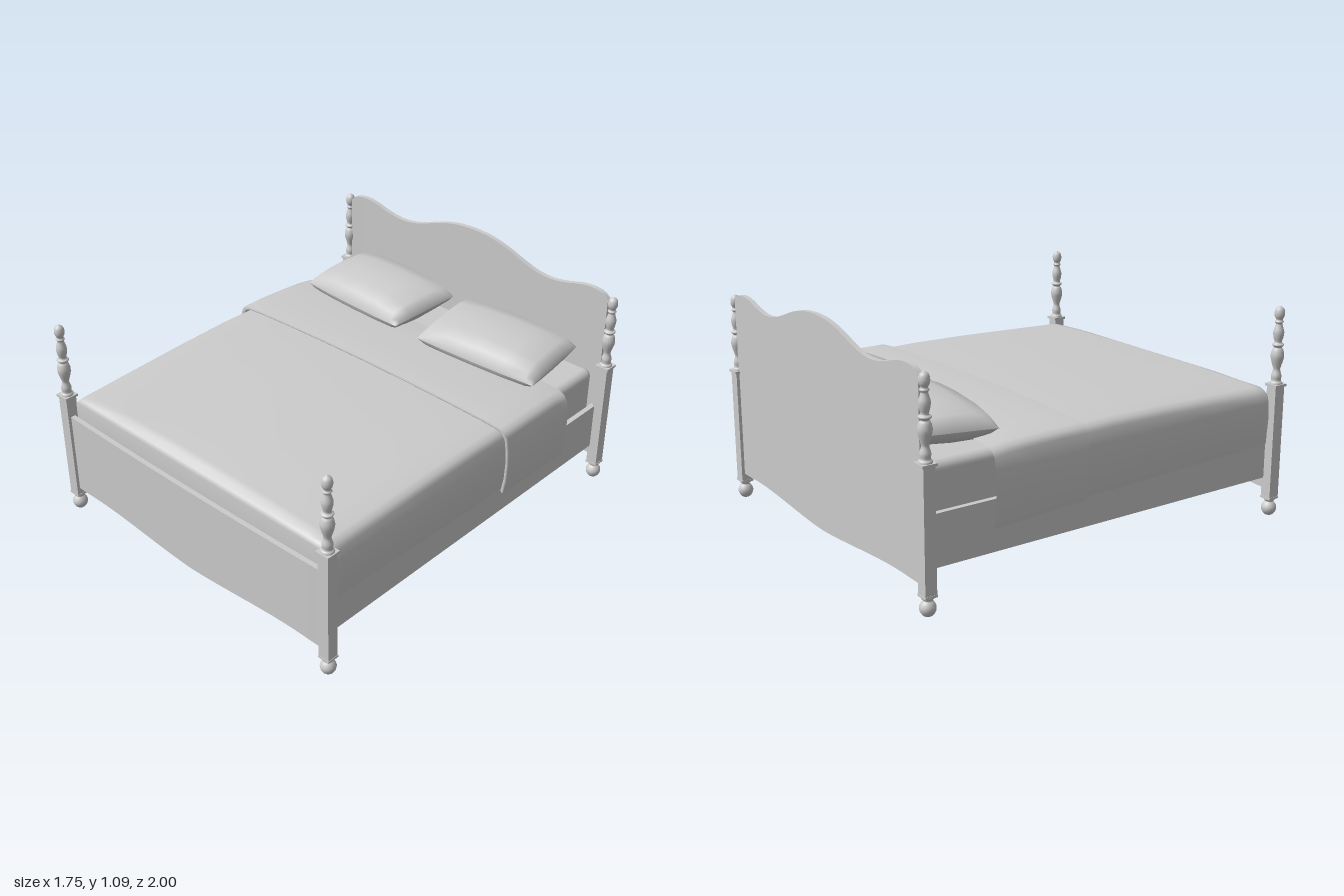
import * as THREE from 'three';
import { RoundedBoxGeometry } from 'three/addons/geometries/RoundedBoxGeometry.js';

const wood = new THREE.MeshStandardMaterial({ color: 0xcccccc });
const cloth = new THREE.MeshStandardMaterial({ color: 0xcccccc, side: THREE.DoubleSide });

function add(parent, name, geometry, x = 0, y = 0, z = 0, material = wood) {
  const mesh = new THREE.Mesh(geometry, material);
  mesh.name = name;
  mesh.position.set(x, y, z);
  parent.add(mesh);
  return mesh;
}

const box = (w, h, d) => new THREE.BoxGeometry(w, h, d);

// Smooth surface through rows of points; rows run +x to -x, front to back
function loft(rows, flip = false) {
  const n = rows[0].length, index = [];
  for (let i = 0; i < rows.length - 1; i++) {
    for (let j = 0; j < n - 1; j++) {
      const a = i * n + j, b = a + 1, c = a + n, d = c + 1;
      index.push(...(flip ? [a, b, c, b, d, c] : [a, c, b, b, c, d]));
    }
  }
  const g = new THREE.BufferGeometry();
  g.setAttribute('position', new THREE.Float32BufferAttribute(rows.flat(2), 3));
  g.setIndex(index);
  g.computeVertexNormals();
  return g;
}

const lathe = (profile) => {
  const pts = new THREE.SplineCurve(profile.map(([r, y]) => new THREE.Vector2(r, y))).getPoints(profile.length * 3);
  return new THREE.LatheGeometry(pts.map((p) => p.set(Math.max(p.x, 0), p.y)), 16);
};

// Square post with turned foot and turned top
function post() {
  const g = new THREE.Group();
  g.name = 'post';
  add(g, 'postFoot', lathe([[0, 0], [0.018, 0.003], [0.032, 0.02], [0.036, 0.04], [0.029, 0.058],
    [0.019, 0.07], [0.026, 0.077], [0.027, 0.085], [0.02, 0.092]]));
  add(g, 'postLowerPlate', box(0.06, 0.01, 0.06), 0, 0.09);
  add(g, 'postShaft', box(0.056, 0.55, 0.056), 0, 0.365);
  add(g, 'postUpperPlate', box(0.07, 0.012, 0.07), 0, 0.646);
  add(g, 'postFinial', lathe([[0.031, 0.65], [0.029, 0.66], [0.022, 0.668], [0.024, 0.69], [0.017, 0.715],
    [0.018, 0.73], [0.028, 0.765], [0.031, 0.79], [0.025, 0.815], [0.018, 0.826], [0.027, 0.835],
    [0.027, 0.842], [0.017, 0.85], [0.023, 0.875], [0.025, 0.9], [0.018, 0.925], [0.015, 0.938],
    [0.021, 0.947], [0.015, 0.957], [0.022, 0.972], [0.024, 0.99], [0.018, 1.01], [0, 1.022]]));
  return g;
}

// Board with curved top and bottom edges, bowed slightly outwards
function board(topPoints, side) {
  const top = new THREE.SplineCurve(topPoints.map(([x, y]) => new THREE.Vector2(x, y)));
  const g = new THREE.BoxGeometry(2, 1, 0.024, 48, 1, 1);
  const p = g.attributes.position;
  for (let i = 0; i < p.count; i++) {
    const u = p.getX(i), edge = top.getPoint(Math.min(1, Math.abs(u)));
    const x = edge.x * Math.sign(u);
    const bottom = 0.1 + 0.035 * THREE.MathUtils.smoothstep(edge.x, -0.05, 0.62)
      - 0.006 * THREE.MathUtils.smoothstep(edge.x, 0.62, 0.81);
    const bow = 0.01 * (1 - (edge.x / 0.81) ** 2);
    p.setXYZ(i, x, p.getY(i) > 0 ? edge.y : bottom, p.getZ(i) + side * (0.966 + bow));
  }
  g.computeVertexNormals();
  return g;
}

// One draped cross-section: hem, bulging side, rounded shoulder, crowned top
function drape(z, hw, top, bottom, cap = Infinity) {
  const half = [[Math.max(hw - 0.016, 0.821), bottom], [hw - 0.004, bottom + 0.07], [hw, 0.49], [hw - 0.004, 0.56],
    [hw - 0.014, top - 0.058], [hw - 0.032, top - 0.035], [hw - 0.06, top - 0.023],
    [hw - 0.15, top - 0.015], [hw * 0.6, top - 0.008], [hw * 0.3, top - 0.002]];
  const right = half.map(([x, y]) => [x, Math.min(y, cap), z]);
  const left = right.map(([x, y]) => [-x, y, z]).reverse();
  return [...right, [0, Math.min(top, cap), z], ...left];
}

// Plump cushion over a four-cornered outline, full close to its seam
function pillow(s, dx, dz) {
  const steps = [1, 0.97, 0.87, 0.5, 0, -0.5, -0.87, -0.97, -1];
  const fatness = [0, 0.3, 0.7, 0.93, 1, 0.93, 0.7, 0.3, 0];
  const mix = THREE.MathUtils.lerp;
  const rows = (k) => steps.map((v, i) => steps.map((w, j) => {
    const u = w * s, a = (u + 1) / 2, b = (v + 1) / 2;
    const x = mix(mix(0.04, 0.7, a), mix(0.08, 0.735, a), b) + dx;
    const z = mix(mix(-0.88, -0.94, a), mix(-0.48, -0.54, a), b) + 0.008 * v * (1 - u * u) + dz;
    const seam = 0.708 - 0.01 * u - 0.012 * v;
    return [s * x, seam + k * fatness[i] * fatness[j], z];
  }));
  const g = new THREE.Group();
  g.name = 'pillow';
  add(g, 'pillowTop', loft(rows(0.092)), 0, 0, 0, cloth);
  add(g, 'pillowBottom', loft(rows(-0.078), true), 0, 0, 0, cloth);
  return g;
}

export function createModel() {
  const bed = new THREE.Group();
  bed.name = 'bed';

  // Four posts
  for (const x of [-0.837, 0.837]) {
    for (const z of [-0.965, 0.965]) {
      const p = post();
      p.position.set(x, 0, z);
      bed.add(p);
    }
  }

  // End boards
  add(bed, 'headboard', board([[0, 1.09], [0.1, 1.083], [0.2, 1.06], [0.3, 1.025], [0.39, 0.998], [0.48, 0.99],
    [0.57, 1.004], [0.65, 1.026], [0.72, 1.035], [0.78, 1.026], [0.815, 1.0]], -1));
  add(bed, 'footboard', board([[0, 0.54], [0.4, 0.54], [0.815, 0.54]], 1));

  // Side rails with inner ledges
  for (const s of [-1, 1]) {
    add(bed, 'sideRail', box(0.026, 0.233, 1.9), s * 0.805, 0.303, 0);
    add(bed, 'railLedge', box(0.05, 0.06, 1.9), s * 0.768, 0.23, 0);
  }

  // Slats under the mattress
  for (let i = 0; i < 6; i++) add(bed, 'slat', box(1.56, 0.025, 0.2), 0, 0.273, -0.8 + i * 0.32);

  // Mattress
  add(bed, 'mattress', new RoundedBoxGeometry(1.586, 0.338, 1.865, 4, 0.04), 0, 0.456, -0.003);

  // Blanket, tucked down behind the footboard
  add(bed, 'blanket', loft([
    drape(0.935, 0.828, 0.65, 0.355, 0.4), drape(0.94, 0.828, 0.65, 0.355, 0.5),
    drape(0.94, 0.83, 0.65, 0.355, 0.605), drape(0.93, 0.831, 0.65, 0.355, 0.625),
    drape(0.905, 0.832, 0.652, 0.354, 0.643), drape(0.875, 0.833, 0.654, 0.353),
    drape(0.6, 0.837, 0.663, 0.346), drape(0.3, 0.841, 0.672, 0.337), drape(0, 0.845, 0.676, 0.33),
    drape(-0.3, 0.846, 0.67, 0.333), drape(-0.55, 0.842, 0.66, 0.335)]), 0, 0, 0, cloth);

  // Turned-back sheet with a thick front hem
  add(bed, 'foldedSheet', loft([
    drape(-0.17, 0.858, 0.673, 0.335), drape(-0.166, 0.868, 0.68, 0.33), drape(-0.172, 0.874, 0.687, 0.328),
    drape(-0.3, 0.873, 0.687, 0.322), drape(-0.45, 0.868, 0.682, 0.312), drape(-0.56, 0.863, 0.676, 0.305),
    drape(-0.642, 0.859, 0.664, 0.298)]), 0, 0, 0, cloth);

  // Pillows
  bed.add(pillow(-1, 0, 0), pillow(1, -0.01, 0.015));
  return bed;
}
